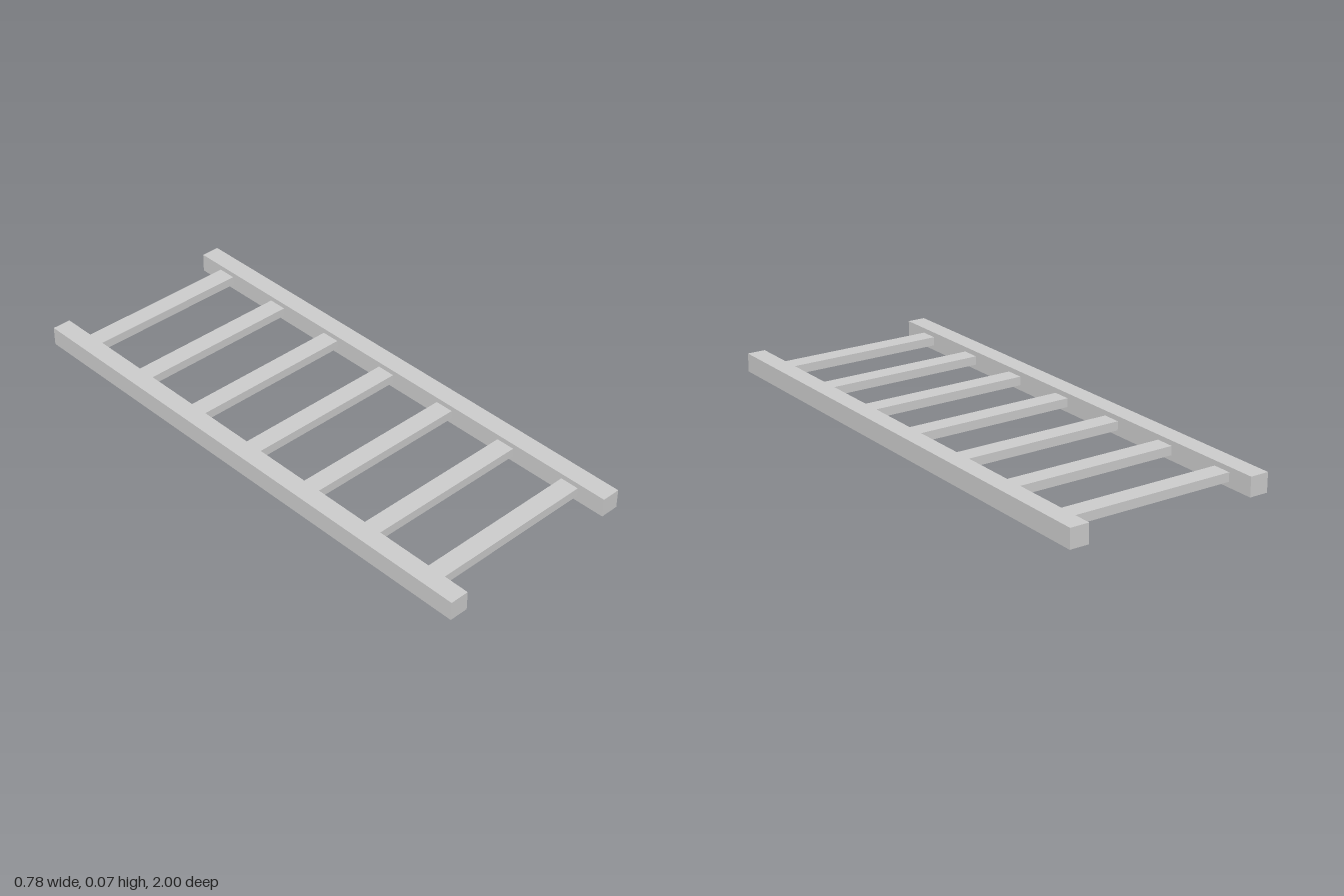
import * as THREE from 'three';

export function createModel() {
  const ladder = new THREE.Group();
  ladder.name = 'ladder';
  const material = new THREE.MeshStandardMaterial({ color: 0xcccccc });

  const railSize = 0.071;
  const railX = 0.3565;
  const midY = railSize / 2;

  function addBeam(name, size, position) {
    const beam = new THREE.Mesh(new THREE.BoxGeometry(...size), material);
    beam.name = name;
    beam.position.set(...position);
    ladder.add(beam);
  }

  // Two square side rails
  addBeam('leftRail', [railSize, railSize, 2], [railX, midY, 0]);
  addBeam('rightRail', [railSize, railSize, 2], [-railX, midY, 0]);

  // Seven flat rungs, ending at the inner faces of the rails
  const rungLength = 2 * railX - railSize;
  const rungCount = 7;
  const rungSpacing = 0.286;
  for (let i = 0; i < rungCount; i++) {
    const z = -0.004 + (i - (rungCount - 1) / 2) * rungSpacing;
    addBeam(`rung${i + 1}`, [rungLength, 0.033, 0.071], [0, 0.036, z]);
  }

  return ladder;
}
